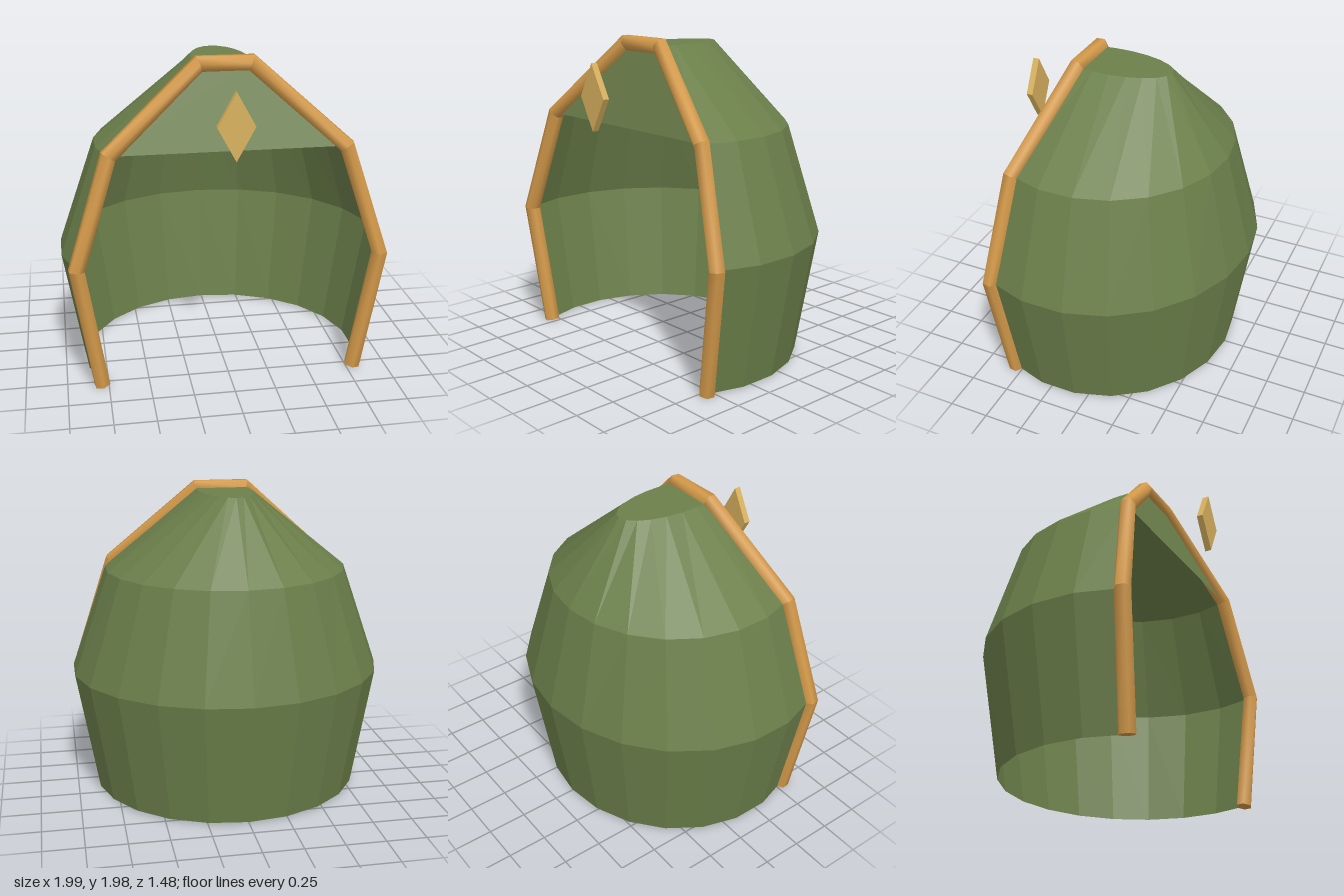
import * as THREE from 'three';
import { mergeGeometries } from 'three/addons/utils/BufferGeometryUtils.js';

const green = new THREE.MeshStandardMaterial({ color: 0x6b7f4a, flatShading: true, side: THREE.DoubleSide });
green.name = 'olive cloth';
const orange = new THREE.MeshStandardMaterial({ color: 0xd49a4a });
orange.name = 'golden trim';
const gold = new THREE.MeshStandardMaterial({ color: 0xd9b25f, flatShading: true });
gold.name = 'pale gold';

// Hood levels: height, half width, half depth, centre z
const LEVELS = [
  { y: 0.02, rx: 0.868, rz: 0.825, cz: 0.203 },
  { y: 0.8, rx: 1.005, rz: 0.94, cz: 0.2 },
  { y: 1.46, rx: 0.775, rz: 0.767, cz: 0.197 },
  { y: 1.945, rx: 0.173, rz: 0.388, cz: 0.19 },
];
const STEPS = 14;
const STEP = Math.PI / 11;

// Point i of the open arc on a level, from the left front edge round the back to the right
function arcPoint(level, i) {
  const a = (STEPS / 2 - i) * STEP;
  return new THREE.Vector3(level.rx * Math.sin(a), level.y, level.cz - level.rz * Math.cos(a));
}

function fromPoints(points, index) {
  const g = new THREE.BufferGeometry().setFromPoints(points);
  g.setIndex(index);
  g.computeVertexNormals();
  return g;
}

function addMesh(group, name, geometry, material) {
  const mesh = new THREE.Mesh(geometry, material);
  mesh.name = name;
  group.add(mesh);
  return mesh;
}

// Faceted wall, open at the face
function wallGeometry() {
  const points = [], index = [], n = STEPS + 1;
  LEVELS.forEach((level, r) => {
    for (let i = 0; i < n; i++) points.push(arcPoint(level, i));
    if (r === 0) return;
    for (let i = 0; i < STEPS; i++) {
      const a = (r - 1) * n + i, b = r * n + i;
      index.push(a, a + 1, b + 1, a, b + 1, b);
    }
  });
  return fromPoints(points, index);
}

// Flat lid on the top level
function lidGeometry() {
  const points = [], index = [];
  for (let i = 0; i <= STEPS; i++) points.push(arcPoint(LEVELS[3], i));
  for (let i = 1; i < STEPS; i++) index.push(0, i, i + 1);
  return fromPoints(points, index);
}

// Hexagonal bar along a path, mitred at each corner
function trimGeometry(path, radius) {
  const last = path.length - 1;
  const dirs = [];
  for (let i = 0; i < last; i++) dirs.push(path[i + 1].clone().sub(path[i]).normalize());
  const mitre = path.map((_, i) =>
    (dirs[i - 1] || dirs[0]).clone().add(dirs[i] || dirs[last - 1]).normalize());
  const slide = (p, dir, i) => {
    const t = path[i].clone().sub(p).dot(mitre[i]) / dir.dot(mitre[i]);
    return p.clone().addScaledVector(dir, t);
  };
  // Start from the crown bar and carry the section down both sides
  const mid = (last - 1) / 2;
  const section = [];
  for (let k = 0; k < 6; k++) {
    const a = k * Math.PI / 3;
    section.push(new THREE.Vector3(0, radius * Math.sin(a), radius * Math.cos(a)).add(path[mid]));
  }
  const rings = [];
  rings[mid] = section.map(p => slide(p, dirs[mid], mid));
  for (let i = mid + 1; i <= last; i++) rings[i] = rings[i - 1].map(p => slide(p, dirs[i - 1], i));
  for (let i = mid - 1; i >= 0; i--) rings[i] = rings[i + 1].map(p => slide(p, dirs[i], i));

  // The path runs towards -x, so the ring turns clockwise about it
  const parts = [];
  for (let i = 0; i < last; i++) {
    const index = [];
    for (let k = 0; k < 6; k++) {
      const m = (k + 1) % 6;
      index.push(k, m, m + 6, k, m + 6, k + 6);
    }
    parts.push(fromPoints([...rings[i], ...rings[i + 1]], index));
  }
  const fan = [0, 1, 2, 0, 2, 3, 0, 3, 4, 0, 4, 5];
  parts.push(fromPoints(rings[0], [...fan].reverse()));
  parts.push(fromPoints(rings[last], fan));
  return mergeGeometries(parts);
}

export function createModel() {
  const group = new THREE.Group();
  group.name = 'hood';

  addMesh(group, 'hoodWall', wallGeometry(), green);
  addMesh(group, 'hoodLid', lidGeometry(), green);

  // Brow panel above the face opening
  const left = LEVELS.map(l => arcPoint(l, 0));
  const right = LEVELS.map(l => arcPoint(l, STEPS));
  addMesh(group, 'browPanel',
    fromPoints([right[2], left[2], left[3], right[3]], [0, 1, 2, 0, 2, 3]), green);

  // Trim round the opening
  const trim = addMesh(group, 'faceTrim', trimGeometry([...left, ...right.reverse()], 0.05), orange);
  trim.material.side = THREE.DoubleSide;

  // Diamond ornament in front of the brow
  const diamond = new THREE.Shape([
    new THREE.Vector2(0, -0.2), new THREE.Vector2(0.11, 0),
    new THREE.Vector2(0, 0.2), new THREE.Vector2(-0.11, 0),
  ]);
  const gem = addMesh(group, 'browDiamond',
    new THREE.ExtrudeGeometry(diamond, { depth: 0.04, bevelEnabled: false }), gold);
  gem.position.set(0, 1.66, 0.695);

  return group;
}
